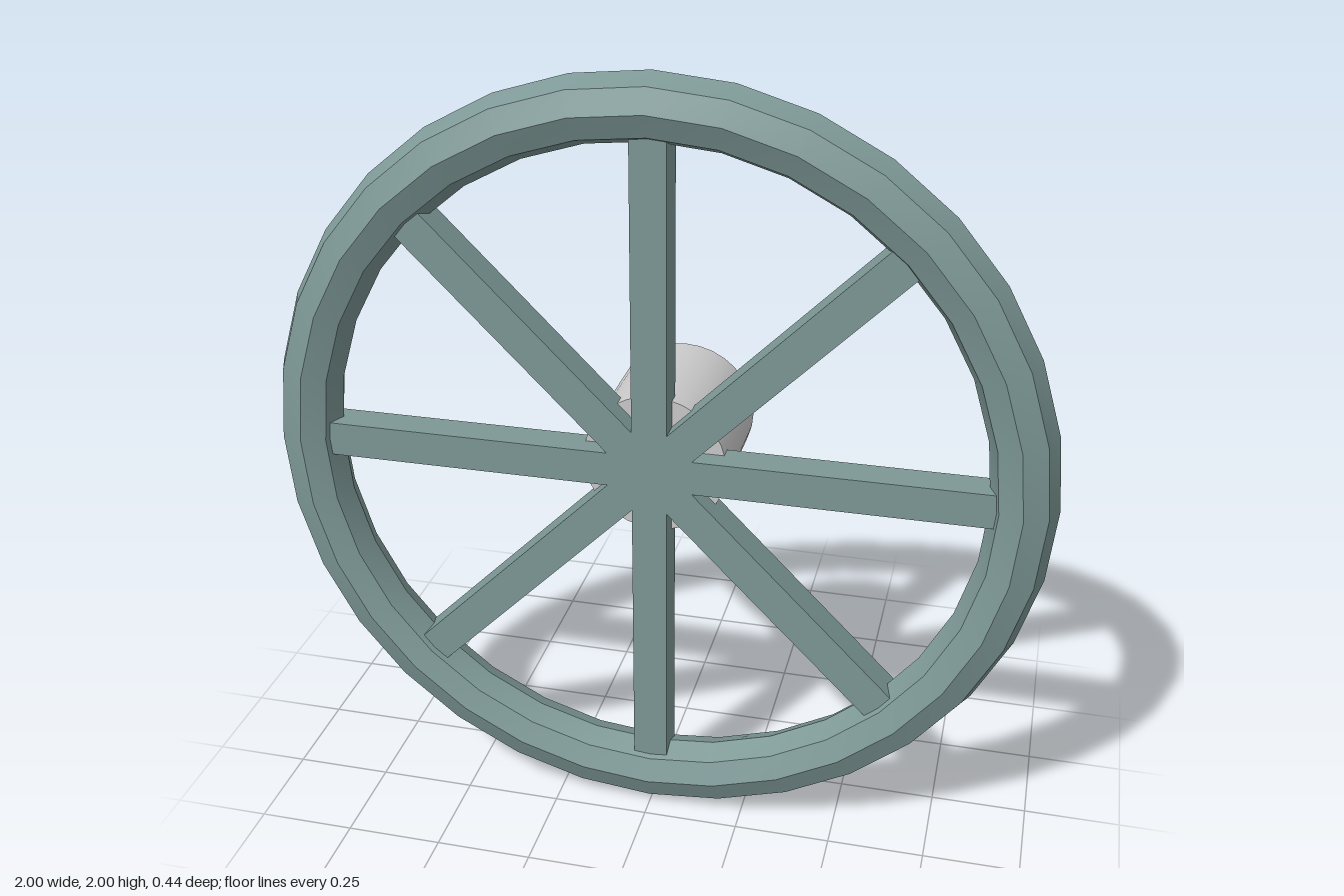
import * as THREE from 'three';
import { toCreasedNormals } from 'three/addons/utils/BufferGeometryUtils.js';

export function createModel() {
  const model = new THREE.Group();
  model.name = 'spokedWheel';
  const paint = new THREE.MeshStandardMaterial({ color: 0x7d9896 });
  const grey = new THREE.MeshStandardMaterial({ color: 0xcccccc });
  const centreY = 1, wheelZ = 0.14;

  const add = (name, geometry, material, z) => {
    const mesh = new THREE.Mesh(geometry, material);
    mesh.name = name;
    mesh.position.set(0, centreY, z);
    model.add(mesh);
    return mesh;
  };

  // Rim: octagonal section, smooth around the wheel
  const rim = new THREE.TorusGeometry(0.917, 0.083, 8, 32);
  add('rim', toCreasedNormals(rim, Math.PI / 6), paint, wheelZ);

  // Four full-width bars make eight spokes
  const bar = new THREE.BoxGeometry(1.71, 0.09, 0.09);
  for (let i = 0; i < 4; i++) {
    add(`spokeBar${i + 1}`, bar, paint, wheelZ).rotation.z = i * Math.PI / 4;
  }

  // Hub: drum behind the spokes, its front end sunk into them
  const back = -0.22, front = 0.13;
  const hub = new THREE.CylinderGeometry(0.185, 0.185, front - back, 32);
  hub.rotateX(Math.PI / 2);
  add('hub', hub, grey, (front + back) / 2);

  return model;
}
